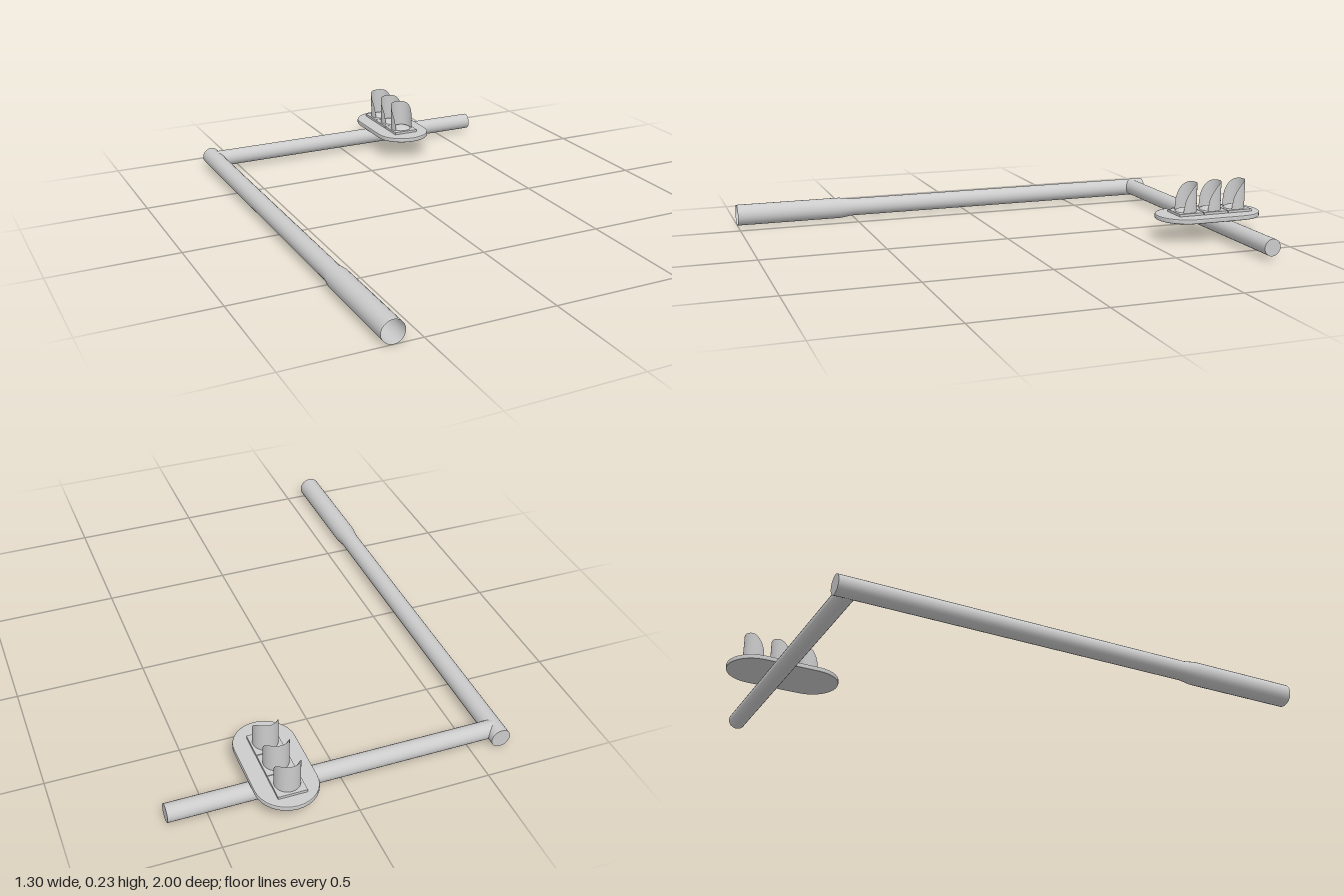
import * as THREE from 'three';

const material = new THREE.MeshStandardMaterial({ color: 0xcccccc, side: THREE.DoubleSide });

function part(name, geometry, x = 0, y = 0, z = 0) {
  const mesh = new THREE.Mesh(geometry, material);
  mesh.name = name;
  mesh.position.set(x, y, z);
  return mesh;
}

// Hollow hood: tall behind the lens, its rim sweeping down to nothing at the front
function visorGeometry(radius, height) {
  const gap = 0.97;
  const geo = new THREE.CylinderGeometry(radius, radius, 1, 28, 1, true, gap, 2 * Math.PI - 2 * gap);
  const pos = geo.attributes.position;
  const front = radius * Math.cos(gap);
  for (let i = 0; i < pos.count; i++) {
    const t = THREE.MathUtils.clamp((front - pos.getZ(i)) / (front + radius), 0, 1);
    const top = height * Math.pow(Math.sin(t * Math.PI / 2), 0.45);
    pos.setY(i, pos.getY(i) > 0 ? top : 0);
  }
  return geo;
}

// Rounded-end plate lying flat, with bevelled edges
function plateGeometry(halfWidth, halfStraight, thickness) {
  const bevel = 0.005;
  const r = halfWidth - bevel;
  const shape = new THREE.Shape();
  shape.absarc(0, halfStraight, r, 0, Math.PI, false);
  shape.absarc(0, -halfStraight, r, Math.PI, 2 * Math.PI, false);
  const geo = new THREE.ExtrudeGeometry(shape, {
    depth: thickness - 2 * bevel, curveSegments: 8,
    bevelEnabled: true, bevelSize: bevel, bevelThickness: bevel, bevelSegments: 2,
  });
  return geo.rotateX(-Math.PI / 2).translate(0, bevel, 0);
}

export function createModel() {
  const model = new THREE.Group();
  model.name = 'signalPole';
  const axisY = 0.045, poleX = -0.608, headX = 0.23;

  // Lying pole with a thicker sleeve at its open foot and a closed far end
  const pole = new THREE.LatheGeometry([
    [0.044, 1], [0.044, 0.56], [0.037, 0.51], [0.037, -0.885],
  ].map(([r, h]) => new THREE.Vector2(r, h)).reverse(), 24);
  model.add(part('pole', pole.rotateX(Math.PI / 2), poleX, axisY, 0));
  model.add(part('poleCap', new THREE.CircleGeometry(0.037, 24).rotateY(Math.PI), poleX, axisY, -0.885));

  // Cross arm
  const armEnd = 0.648;
  const arm = new THREE.CylinderGeometry(0.034, 0.034, armEnd - poleX, 24).rotateZ(Math.PI / 2);
  model.add(part('arm', arm, (armEnd + poleX) / 2, 0.048, -0.828));

  // Signal head
  const head = new THREE.Group();
  head.name = 'signalHead';
  head.position.set(headX, 0, -0.777);
  head.add(part('backPlate', plateGeometry(0.116, 0.107, 0.02), 0, 0.084, 0));

  for (const i of [-1, 0, 1]) {
    const z = i * 0.109 - 0.011;
    head.add(part('housing', new THREE.BoxGeometry(0.108, 0.016, 0.106), 0, 0.106, z));
    const lens = new THREE.SphereGeometry(0.043, 24, 8, 0, 2 * Math.PI, 0, Math.PI / 2).scale(1, 0.35, 1);
    head.add(part('lens', lens, 0, 0.112, z));
    head.add(part('visor', visorGeometry(0.047, 0.118), 0, 0.112, z + 0.004));
  }
  model.add(head);
  return model;
}
